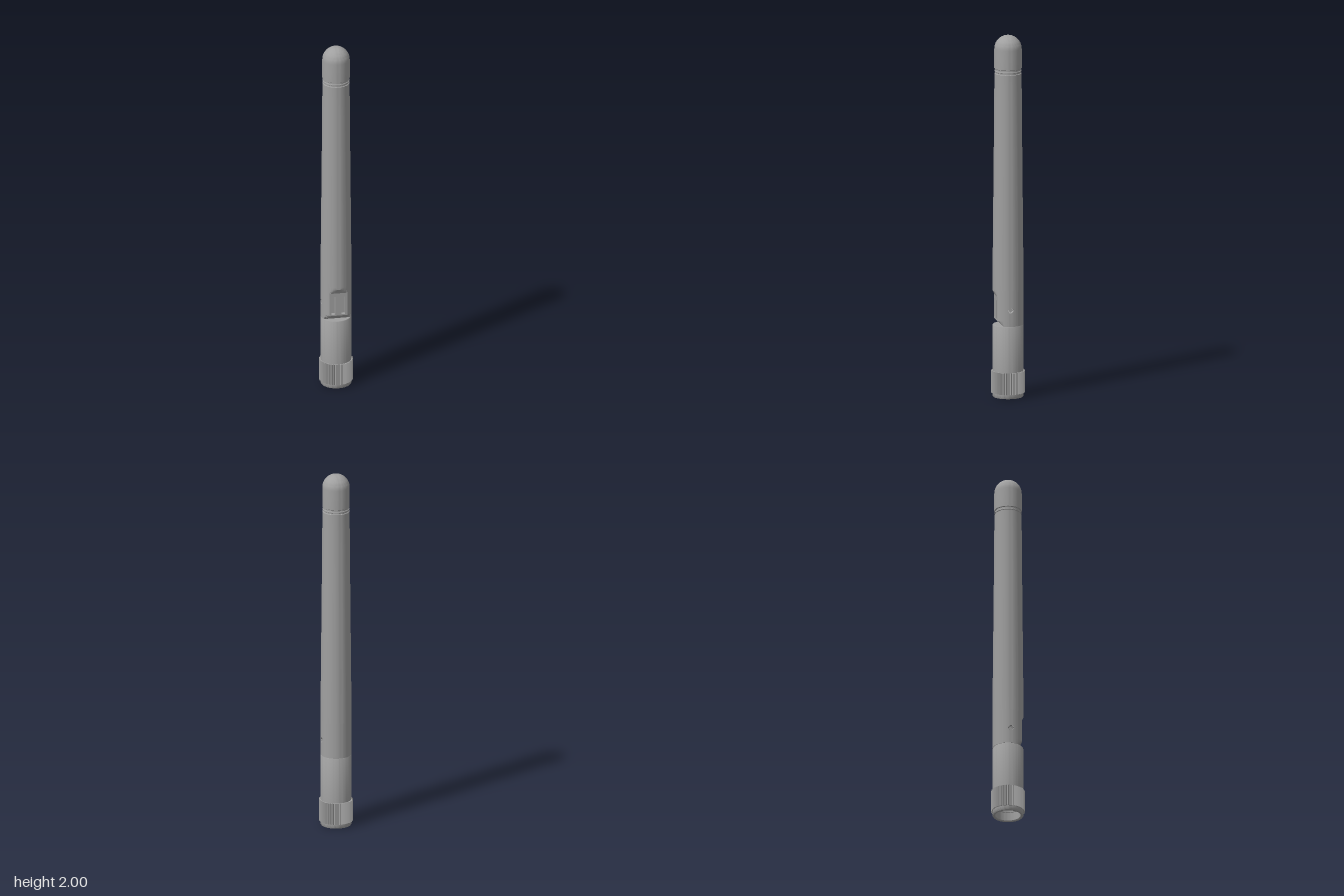
import * as THREE from 'three';
import { toCreasedNormals } from 'three/addons/utils/BufferGeometryUtils.js';

const grey = new THREE.MeshStandardMaterial({ color: 0xa0a0a0 });
grey.name = 'grey';

const R = 0.083; // hinge and base radius

function addMesh(group, name, geometry, crease = 0.6) {
  const mesh = new THREE.Mesh(toCreasedNormals(geometry, crease), grey);
  mesh.name = name;
  group.add(mesh);
  return mesh;
}

const lathe = (points, segments = 64) =>
  new THREE.LatheGeometry(points.map(([r, y]) => new THREE.Vector2(r, y)), segments);

// Rounded rectangle outline, used for the tongue and its pockets
function rectangle(Type, x0, y0, x1, y1) {
  const path = new Type();
  path.moveTo(x0, y0);
  path.lineTo(x1, y0);
  path.lineTo(x1, y1);
  path.lineTo(x0, y1);
  path.closePath();
  return path;
}

// Hinge barrel: a cylinder with a front notch and a round dimple on each side
function hingeGeometry() {
  const rows = [0.4, 0.4295, 0.43, 0.45, 0.47, 0.476, 0.479, 0.484, 0.49, 0.496,
    0.501, 0.504, 0.51, 0.53, 0.56, 0.5605, 0.575, 0.588, 0.6];
  const notch = [[0.4, 0.038], [0.43, 0.068], [0.565, 0.068], [0.588, R], [0.6, R]];
  const limit = (y) => {
    const i = Math.max(1, notch.findIndex(([h]) => h >= y));
    const [y0, z0] = notch[i - 1], [y1, z1] = notch[i];
    return z0 + (z1 - z0) * (y - y0) / (y1 - y0);
  };
  const columns = 128;
  const geo = new THREE.CylinderGeometry(R, R, 1, columns, rows.length - 1);
  const pos = geo.attributes.position;
  for (let i = 0; i < (columns + 1) * rows.length; i++) {
    const y = rows[rows.length - 1 - Math.floor(i / (columns + 1))];
    let x = pos.getX(i), z = pos.getZ(i);
    if (Math.hypot(z, y - 0.49) < 0.0135) x *= 0.85;
    const behindTongue = y >= 0.43 && y <= 0.56 && z > 0.068;
    z = behindTongue ? 0.045 : Math.min(z, limit(y));
    pos.setXYZ(i, x, y, z);
  }
  // End caps
  for (let i = (columns + 1) * rows.length; i < pos.count; i++) {
    const top = pos.getY(i) > 0;
    pos.setY(i, top ? 0.6 : 0.4);
    if (!top) pos.setZ(i, Math.min(pos.getZ(i), 0.038));
  }
  return geo;
}

export function createModel() {
  const model = new THREE.Group();
  model.name = 'antenna';

  // Tapered mast with a grooved collar and domed tip
  const mast = [[0, 0.6], [R, 0.6], [R, 0.78], [0.075, 1.6], [0.074, 1.79], [0.07, 1.792],
    [0.07, 1.798], [0.073, 1.8], [0.073, 1.805], [0.07, 1.807], [0.07, 1.815], [0.0745, 1.818]];
  for (let i = 0; i <= 14; i++) {
    const a = i / 14 * Math.PI / 2;
    mast.push([0.0745 * Math.cos(a), 1.9255 + 0.0745 * Math.sin(a)]);
  }
  addMesh(model, 'mast', lathe(mast));

  // Hinge barrel and its tongue with two pockets
  addMesh(model, 'hingeBarrel', hingeGeometry(), 0.5);
  const tongue = rectangle(THREE.Shape, -0.05, 0.428, 0.05, 0.563);
  for (const s of [-1, 1]) {
    tongue.holes.push(rectangle(THREE.Path,
      Math.min(s * 0.017, s * 0.037), 0.435, Math.max(s * 0.017, s * 0.037), 0.54));
  }
  const plate = new THREE.ExtrudeGeometry(tongue, { depth: 0.022, bevelEnabled: false });
  plate.translate(0, 0, 0.046);
  addMesh(model, 'hingeTongue', plate);

  // Lower barrel
  addMesh(model, 'lowerBarrel', lathe([[0, 0.13], [R, 0.13], [R, 0.397], [0.081, 0.4], [0, 0.4]]));

  // Knurled coupling nut
  const teeth = 60;
  const outline = new THREE.Shape();
  for (let i = 0; i < teeth * 2; i++) {
    const a = i / teeth * Math.PI;
    const r = i % 2 ? 0.0865 : 0.0925;
    outline[i ? 'lineTo' : 'moveTo'](r * Math.cos(a), r * Math.sin(a));
  }
  outline.closePath();
  const bore = new THREE.Path();
  bore.absarc(0, 0, 0.075, 0, Math.PI * 2, true);
  outline.holes.push(bore);
  const nut = new THREE.ExtrudeGeometry(outline, { depth: 0.12, bevelEnabled: false, curveSegments: 32 });
  nut.rotateX(-Math.PI / 2);
  nut.translate(0, 0.024, 0);
  addMesh(model, 'knurledNut', nut, 0.3);

  // Hollow collar below the nut
  addMesh(model, 'socket', lathe([[0, 0.11], [0.062, 0.11], [0.062, 0.05], [0.068, 0.05],
    [0.068, 0.004], [0.071, 0], [0.081, 0], [0.085, 0.006], [0.085, 0.026], [0.08, 0.03]]));

  return model;
}
